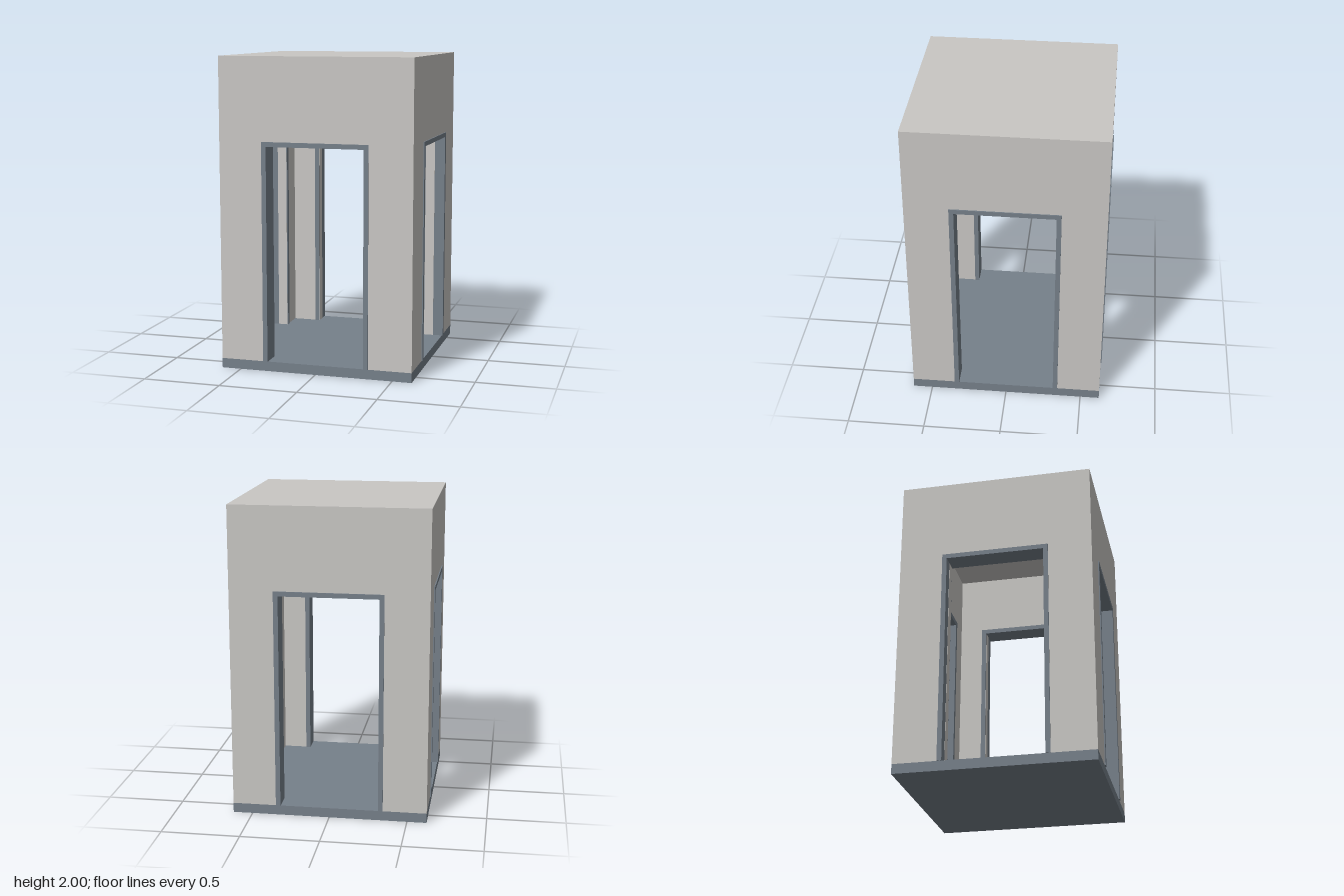
import * as THREE from 'three';

const W = 1.25, H = 2, T = 0.125, FLOOR = 0.0625, LIP = 0.0065;
const DOOR_X = 0.315, DOOR_TOP = 1.44, TRIM_X = 0.345, TRIM_TOP = 1.47;

// Upside-down U: a panel from the floor up, with a doorway cut through it
function archGeometry(halfOuter, topOuter, halfInner, topInner, depth) {
  const s = new THREE.Shape();
  [[-halfOuter, FLOOR], [-halfInner, FLOOR], [-halfInner, topInner], [halfInner, topInner],
    [halfInner, FLOOR], [halfOuter, FLOOR], [halfOuter, topOuter], [-halfOuter, topOuter]]
    .forEach(([x, y], i) => (i ? s.lineTo(x, y) : s.moveTo(x, y)));
  s.closePath();
  return new THREE.ExtrudeGeometry(s, { depth, bevelEnabled: false });
}

export function createModel() {
  const model = new THREE.Group();
  model.name = 'kiosk';
  const plaster = new THREE.MeshStandardMaterial({ name: 'warm grey plaster', color: 0xc9c7c4 });
  const slate = new THREE.MeshStandardMaterial({ name: 'slate blue grey', color: 0x76808a });

  const add = (parent, name, geometry, material, x = 0, y = 0, z = 0) => {
    const mesh = new THREE.Mesh(geometry, material);
    mesh.name = name;
    mesh.position.set(x, y, z);
    parent.add(mesh);
    return mesh;
  };

  // Floor and roof slabs
  add(model, 'floor', new THREE.BoxGeometry(W, FLOOR, W), slate, 0, FLOOR / 2, 0);
  add(model, 'roof', new THREE.BoxGeometry(W, T, W), plaster, 0, H - T / 2, 0);

  // Four walls, each with a framed doorway; the side walls fit between front and back.
  // liner is the side of the doorway with plaster on the inner half of its jamb.
  const sides = [
    { name: 'front', turn: 0, half: W / 2, liner: 0 },
    { name: 'left', turn: 1, half: W / 2 - T, liner: 1 },
    { name: 'back', turn: 2, half: W / 2, liner: 1 },
    { name: 'right', turn: 3, half: W / 2 - T, liner: -1 },
  ];
  const frame = archGeometry(TRIM_X, TRIM_TOP, DOOR_X, DOOR_TOP, T + 2 * LIP);
  const linerHeight = DOOR_TOP - FLOOR;
  for (const { name, turn, half, liner } of sides) {
    const side = new THREE.Group();
    side.name = name + 'Side';
    side.rotation.y = turn * Math.PI / 2;
    model.add(side);
    add(side, name + 'Wall', archGeometry(half, H - T, TRIM_X, TRIM_TOP, T), plaster, 0, 0, W / 2 - T);
    add(side, name + 'DoorFrame', frame, slate, 0, 0, W / 2 - T - LIP);
    if (liner) {
      add(side, name + 'JambLiner', new THREE.BoxGeometry(0.002, linerHeight, T / 2), plaster,
        liner * (DOOR_X - 0.0005), FLOOR + linerHeight / 2, W / 2 - T * 0.75);
    }
  }
  return model;
}
